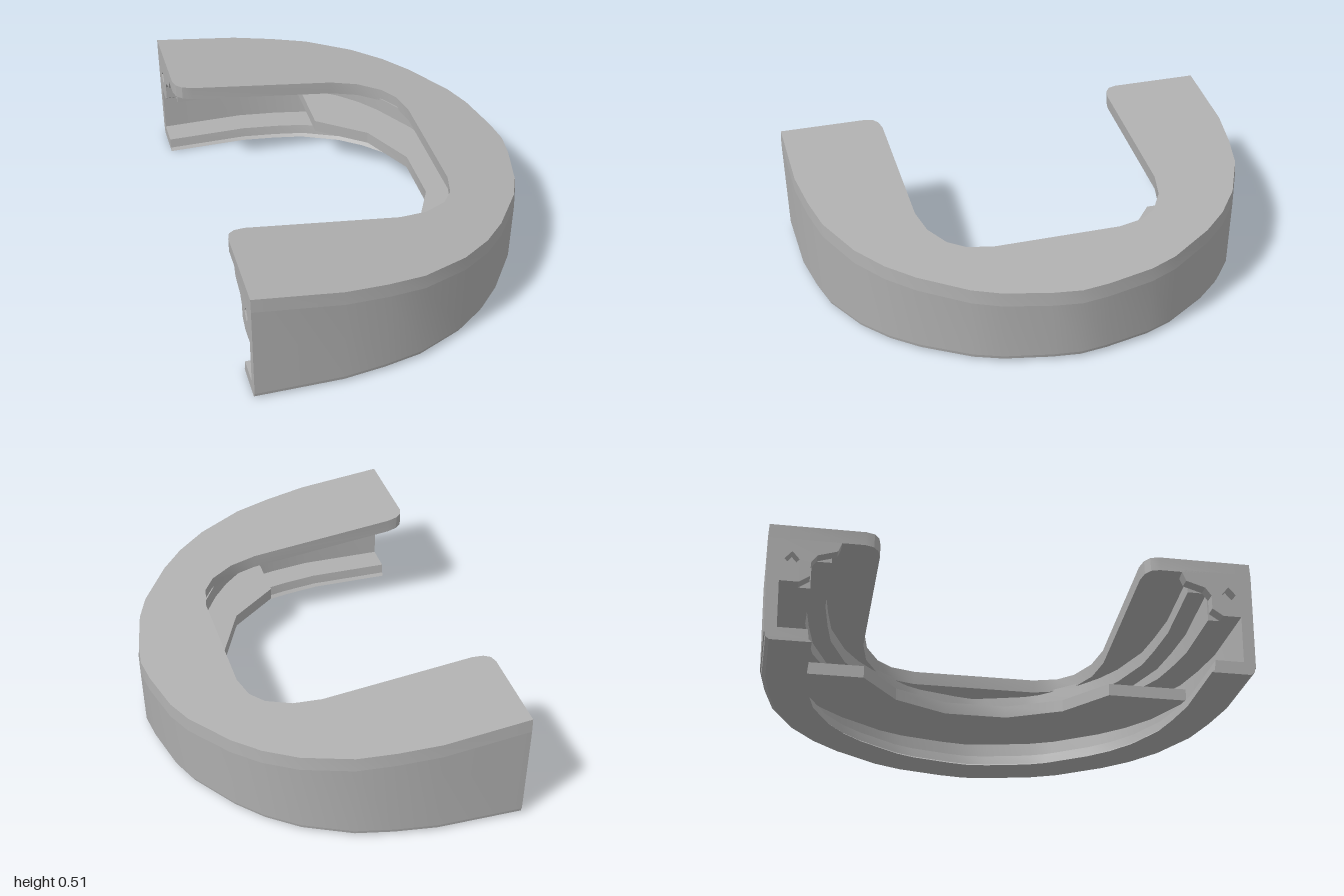
import * as THREE from 'three';
import { toCreasedNormals } from 'three/addons/utils/BufferGeometryUtils.js';

const END = -0.69;
const topY = (x) => 0.51 - (x - END) * 0.123; // sloping top plane

// Half outlines as [x, z], from the open end round to the closed front
const OUTER = [[END, 1], [-0.32, 1], [-0.14, 0.975], [0.02, 0.94], [0.22, 0.845], [0.35, 0.745],
  [0.45, 0.635], [0.58, 0.44], [0.63, 0.32], [0.675, 0.12], [0.69, 0]];
const PLATE_INNER = [[END, 0.61], [-0.68, 0.575], [-0.655, 0.555], [-0.61, 0.545], [0.04, 0.545],
  [0.16, 0.52], [0.26, 0.46], [0.31, 0.39], [0.335, 0.28]];
const LEDGE_OUTER = [[-0.04, 0.92], [0.2, 0.82], [0.33, 0.72], [0.43, 0.61], [0.55, 0.43], [0.6, 0.31], [0.65, 0.1]];
const LEDGE_INNER = [[-0.04, 0.545], [0.17, 0.38], [0.285, 0.14]];

// Mirror a half outline into the full U
function full(half) {
  const other = half.filter((p) => p[1] > 0).map(([x, z]) => [x, -z]).reverse();
  return [...half, ...other];
}

// Move a half outline inwards by d
function inset(half, d) {
  return half.map(([x, z], i) => {
    if (z === 0) return [x - d, 0];
    const a = half[Math.max(i - 1, 0)];
    const b = i === 0 ? half[1] : half[Math.min(i + 1, half.length - 1)];
    const dx = b[0] - a[0], dz = b[1] - a[1], l = Math.hypot(dx, dz);
    return [i === 0 ? x : x + (dz / l) * d, z - (dx / l) * d];
  });
}

// U-shaped band between two outlines, with height rules and a taper at each level
function band(outer, inner, low, high, lowScale = 1, highScale = 1) {
  const pts = [...full(outer), ...full(inner).reverse()].map(([x, z]) => new THREE.Vector2(x, -z));
  const geo = new THREE.ExtrudeGeometry(new THREE.Shape(pts), { depth: 1, bevelEnabled: false });
  geo.rotateX(-Math.PI / 2);
  const p = geo.attributes.position;
  for (let i = 0; i < p.count; i++) {
    const upper = p.getY(i) > 0.5;
    const s = upper ? highScale : lowScale;
    const x = END + (p.getX(i) - END) * s;
    p.setXYZ(i, x, upper ? high(x) : low(x), p.getZ(i) * s);
  }
  return toCreasedNormals(geo, 0.45);
}

export function createModel() {
  const group = new THREE.Group();
  const grey = new THREE.MeshStandardMaterial({ color: 0xb0b0b0 });
  grey.name = 'plain grey';
  const add = (name, geo) => {
    const mesh = new THREE.Mesh(geo, grey);
    mesh.name = name;
    group.add(mesh);
    return mesh;
  };
  const at = (y) => () => y;
  const under = (d) => (x) => topY(x) - d;

  // Outer shell
  add('topPlate', band(OUTER, PLATE_INNER, under(0.06), under(0), 1, 0.997));
  add('outerWall', band(OUTER, inset(OUTER, 0.05), at(0.03), under(0.06), 0.992, 1));

  // Inward lip at the foot, with its rounded outer edge
  const lip = inset(OUTER, 0.17);
  add('bottomLip', band(OUTER, lip, at(0.012), at(0.055), 0.985, 0.992));
  add('bottomLipEdge', band(OUTER, lip, at(0), at(0.012), 0.97, 0.985));

  // Stepped shoulder below the top plate, set back from the open ends
  const back = (half) => half.map(([x, z], i) => [i === 0 ? END + 0.05 : x, z]);
  const wallLine = back(inset(OUTER, 0.04));
  add('shoulder', band(wallLine, back(inset(OUTER, 0.18)), at(0.26), under(0.05)));
  add('upperShoulder', band(wallLine, back(inset(OUTER, 0.26)), under(0.12), under(0.05)));

  // Ledge around the inside of the closed end
  add('innerLedge', band(LEDGE_OUTER, LEDGE_INNER, at(0.165), at(0.22)));

  // End tabs with a diamond hole; the shape is drawn in [z, y]
  for (const side of [1, -1]) {
    const v = (z, y) => new THREE.Vector2(z * side, y);
    const tab = new THREE.Shape([v(0.96, 0.46), v(0.7, 0.46), v(0.72, 0.41), v(0.8, 0.385),
      v(0.825, 0.35), v(0.825, 0.29), v(0.87, 0.26), v(0.96, 0.26)]);
    tab.holes.push(new THREE.Path([v(0.9, 0.395), v(0.93, 0.36), v(0.9, 0.325), v(0.87, 0.36)]));
    const geo = new THREE.ExtrudeGeometry(tab, { depth: 0.05, bevelEnabled: false });
    geo.rotateY(-Math.PI / 2);
    geo.translate(END + 0.05, 0, 0);
    add(side > 0 ? 'frontEndTab' : 'backEndTab', geo);
  }
  return group;
}
